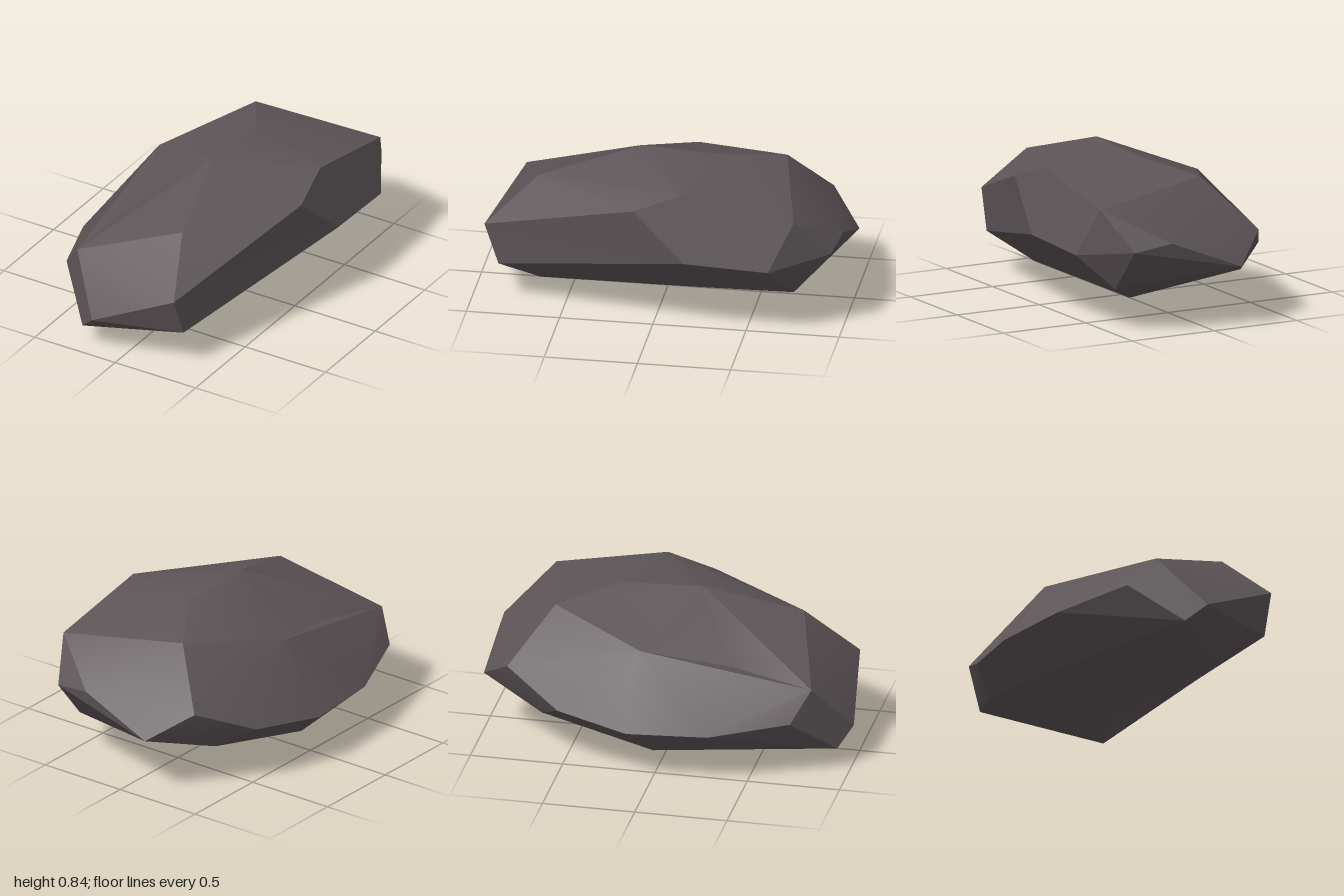
import * as THREE from 'three';
import { ConvexGeometry } from 'three/addons/geometries/ConvexGeometry.js';
import { toCreasedNormals } from 'three/addons/utils/BufferGeometryUtils.js';

// Corners of the boulder, grouped by region
const crown = [
  [0.075, 0.84, 0.135], [0.56, 0.787, -0.16], [0.075, 0.82, -0.305],
  [-0.125, 0.75, -0.62], [0.56, 0.67, -0.765], [-0.405, 0.657, -0.1],
  [0.205, 0.69, 0.655], [0.597, 0.695, 0.09],
];
const front = [
  [0.323, 0.435, 0.932], [0.335, 0.215, 0.855], [-0.145, 0.215, 1],
  [-0.35, 0.495, 0.815], [-0.245, 0.118, 0.932], [-0.472, 0.34, 0.725],
];
const leftFlank = [[0.64, 0.41, -0.64], [0.51, 0.277, 0.2]];
const rightFlank = [
  [-0.625, 0.293, 0.31], [-0.655, 0.285, -0.125], [-0.54, 0.328, -0.52],
];
const back = [
  [-0.165, 0.33, -1], [0.245, 0.495, -0.98], [0.455, 0.46, -0.947],
  [-0.365, 0.477, -0.83], [0.462, 0.226, -0.75], [-0.362, 0.224, -0.643],
];
const base = [[0, 0, -0.09], [0.155, 0.07, 0.66]];

// Corners beside shallow hollows: position, then the shift that raises them on the hull
const hollows = [
  { at: [-0.3, 0.565, 0.37], shift: [0, 0.06, 0] },
  { at: [0.653, 0.435, -0.19], shift: [0.05, -0.08, 0] },
  { at: [-0.455, 0.108, -0.02], shift: [-0.03, -0.06, 0] },
].map(({ at, shift }) => ({
  at: new THREE.Vector3(...at),
  raised: new THREE.Vector3(...at).add(new THREE.Vector3(...shift)),
}));

// Wrap all corners in a hull, then press the raised ones back into place
function boulderGeometry() {
  const corners = [...crown, ...front, ...leftFlank, ...rightFlank, ...back, ...base]
    .map((p) => new THREE.Vector3(...p));
  const geometry = new ConvexGeometry([...corners, ...hollows.map((h) => h.raised)]);
  const position = geometry.attributes.position;
  const v = new THREE.Vector3();
  for (let i = 0; i < position.count; i++) {
    v.fromBufferAttribute(position, i);
    const hollow = hollows.find((h) => h.raised.distanceTo(v) < 1e-4);
    if (hollow) position.setXYZ(i, ...hollow.at);
  }
  // Shallow edges are softened, steep ones stay sharp
  return toCreasedNormals(geometry, THREE.MathUtils.degToRad(20));
}

export function createModel() {
  const group = new THREE.Group();
  group.name = 'rock';

  const stone = new THREE.MeshStandardMaterial({ color: 0x5d5558 });
  stone.name = 'dark stone';

  const boulder = new THREE.Mesh(boulderGeometry(), stone);
  boulder.name = 'boulder';
  group.add(boulder);
  return group;
}
